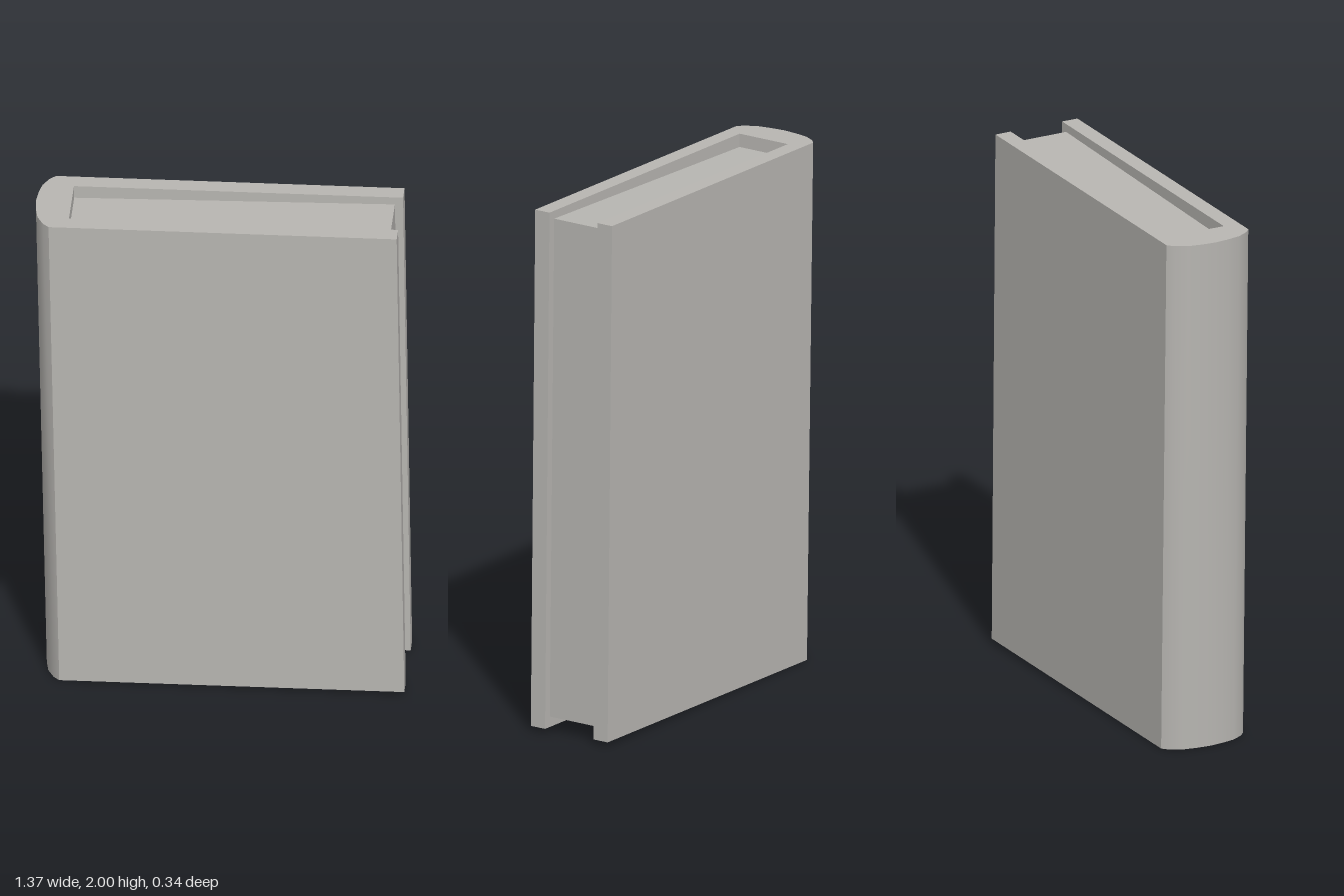
import * as THREE from 'three';
import { toCreasedNormals } from 'three/addons/utils/BufferGeometryUtils.js';

const HALF = 0.172;   // half thickness of the book
const INNER = 0.108;  // half thickness of the page block

// Turns an upright block (y from 0 to 1) into the slightly leaning, worn book form.
// bottom and top give the height of each end from the position t across the width.
function lean(geometry, bottom, top) {
  const p = geometry.attributes.position;
  for (let i = 0; i < p.count; i++) {
    const x = p.getX(i), y = p.getY(i);
    const t = (x + 0.685) / 1.34;
    p.setX(i, x + (1 - y) * (0.04 - 0.012 * t));
    p.setY(i, THREE.MathUtils.lerp(bottom(t), top(t), y));
  }
  return toCreasedNormals(geometry, 0.6);
}

export function createModel() {
  const book = new THREE.Group();
  book.name = 'book';
  const grey = new THREE.MeshStandardMaterial({ color: 0xb8b6b2 });
  grey.name = 'warm grey';

  // Cover: U-shaped section with a rounded spine, extruded upwards
  const section = new THREE.Shape();
  section.moveTo(0.655, -INNER);
  section.lineTo(-0.555, -INNER);
  section.lineTo(-0.555, INNER);
  section.lineTo(0.655, INNER);
  section.lineTo(0.655, HALF);
  section.lineTo(-0.625, HALF);
  const spine = [[-0.647, 0.152], [-0.671, 0.108], [-0.681, 0.055], [-0.686, 0],
    [-0.681, -0.055], [-0.671, -0.108], [-0.647, -0.152], [-0.625, -HALF]];
  for (const [x, z] of spine) section.lineTo(x, z);
  section.lineTo(0.655, -HALF);
  section.closePath();
  const coverGeometry = new THREE.ExtrudeGeometry(section, { depth: 1, bevelEnabled: false });
  coverGeometry.rotateX(-Math.PI / 2);
  const cover = new THREE.Mesh(
    lean(coverGeometry, t => 0.002 + 0.018 * t, t => 1.983 + 0.017 * t), grey);
  cover.name = 'cover';
  book.add(cover);

  // Page block, recessed at the top, bottom and fore edge
  const pagesGeometry = new THREE.BoxGeometry(1.2, 1, 2 * INNER + 0.004);
  pagesGeometry.translate(0.025, 0.5, 0);
  const pages = new THREE.Mesh(
    lean(pagesGeometry, () => 0.06, t => 1.93 + 0.04 * t), grey);
  pages.name = 'pages';
  book.add(pages);

  return book;
}
